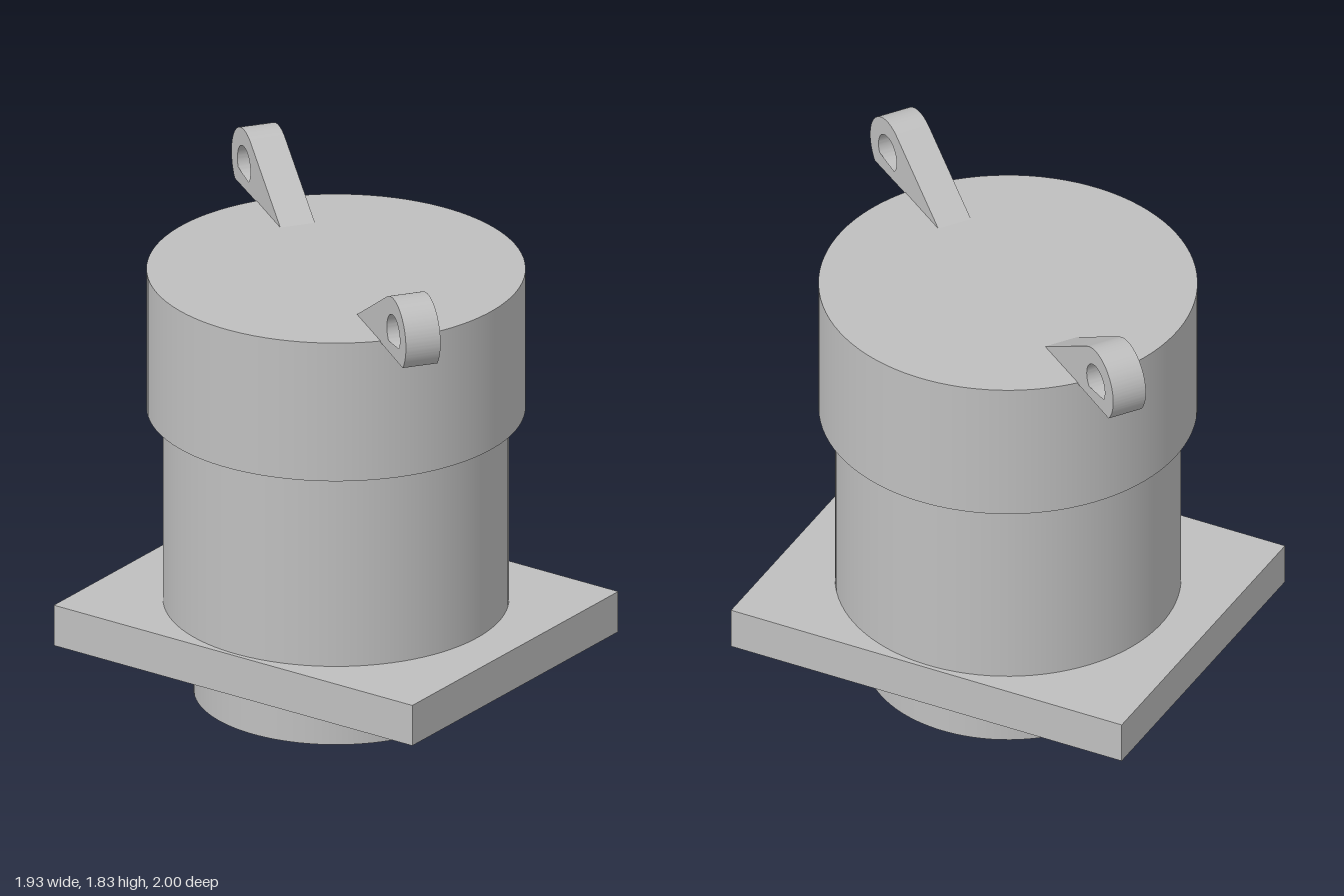
import * as THREE from 'three';
import { toCreasedNormals } from 'three/addons/utils/BufferGeometryUtils.js';

const metal = new THREE.MeshStandardMaterial({ color: 0xbfbfbf });
metal.name = 'grey metal';

function add(parent, name, geometry) {
  const mesh = new THREE.Mesh(geometry, metal);
  mesh.name = name;
  parent.add(mesh);
  return mesh;
}

// Upright cylinder between two heights
function drum(parent, name, radius, y0, y1) {
  add(parent, name, new THREE.CylinderGeometry(radius, radius, y1 - y0, 96))
    .position.y = (y0 + y1) / 2;
}

// Lifting lug profile: tangents from two points on the cap to a round eye
function lugGeometry() {
  const eye = new THREE.Vector2(0.805, 1.7);
  const radius = 0.135, width = 0.13;
  const onTop = new THREE.Vector2(0.41, 1.615);
  const onSide = new THREE.Vector2(0.66, 1.342);
  const normalAngle = (p, side) => {
    const d = eye.clone().sub(p);
    return d.angle() + side * (Math.asin(radius / d.length()) + Math.PI / 2);
  };
  const shape = new THREE.Shape();
  shape.moveTo(onSide.x, onSide.y);
  shape.absarc(eye.x, eye.y, radius, normalAngle(onSide, -1), normalAngle(onTop, 1), false);
  shape.lineTo(onTop.x, onTop.y);
  shape.closePath();
  const hole = new THREE.Path();
  hole.absarc(eye.x, eye.y, 0.07, 0, Math.PI * 2, true);
  shape.holes.push(hole);
  const geometry = new THREE.ExtrudeGeometry(shape, { depth: width, bevelEnabled: false, curveSegments: 32 });
  geometry.translate(0, 0, -width / 2);
  geometry.rotateY(-Math.PI / 2);
  return toCreasedNormals(geometry, 0.5);
}

export function createModel() {
  const model = new THREE.Group();
  model.name = 'flanged canister';

  // Stacked round sections
  drum(model, 'baseSpigot', 0.505, 0, 0.2);
  drum(model, 'body', 0.613, 0.34, 1.09);
  drum(model, 'cap', 0.671, 1.085, 1.617);

  // Rectangular mounting flange, turned about the axis
  const flange = add(model, 'flange', new THREE.BoxGeometry(1.258, 0.155, 1.557));
  flange.position.y = 0.27;
  flange.rotation.y = 0.618;

  // Opposed lifting lugs
  const lug = lugGeometry();
  add(model, 'frontLug', lug);
  add(model, 'backLug', lug).rotation.y = Math.PI;

  return model;
}
